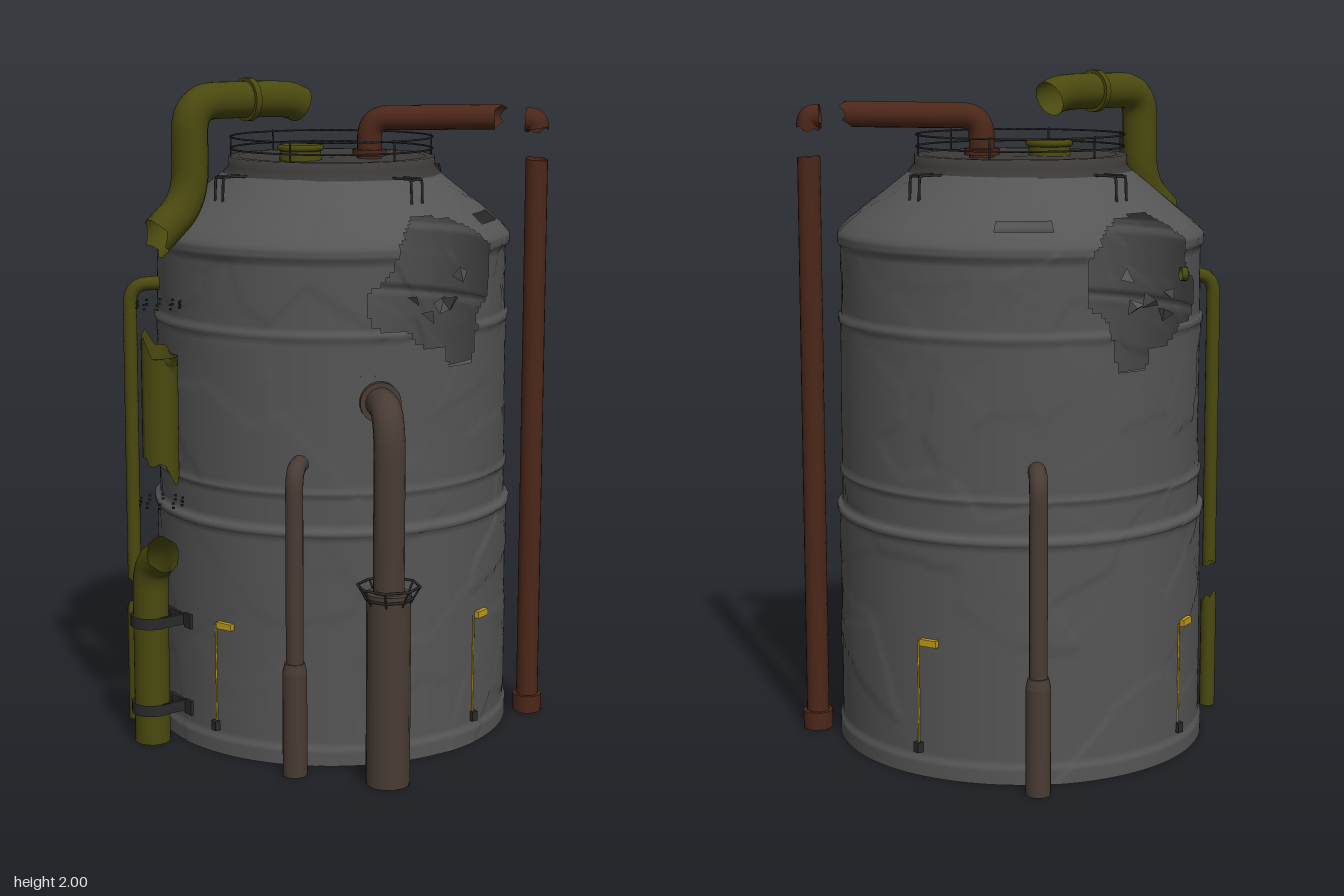
import * as THREE from 'three';

const CX = -0.08, CZ = -0.07; // tank axis
const mat = (color, side = THREE.DoubleSide) => new THREE.MeshStandardMaterial({ color, side });
const STEEL = mat(0x555555), DARK = mat(0x3c3a38), WIRE = mat(0x2a2a2a);
const OLIVE = mat(0x4a490f), BROWN = mat(0x483c34), RUST = mat(0x4c2719), YELLOW = mat(0xc09a18);
const V = (x, y, z) => new THREE.Vector3(x, y, z);

let seed = 7;
const rnd = () => (seed = (seed * 16807) % 2147483647) / 2147483647;

function add(parent, name, geometry, material, x = 0, y = 0, z = 0) {
  const mesh = new THREE.Mesh(geometry, material);
  mesh.name = name;
  mesh.position.set(x, y, z);
  parent.add(mesh);
  return mesh;
}

// Tube along straight runs with rounded corners; the last end may be torn
function pipe(parent, name, points, r, material, bend = 0.08, torn = 0, radial = 14) {
  const p = points.map(a => V(...a)), path = new THREE.CurvePath();
  let from = p[0];
  for (let i = 1; i < p.length - 1; i++) {
    const a = p[i].clone().lerp(p[i - 1], Math.min(0.49, bend / p[i].distanceTo(p[i - 1])));
    const b = p[i].clone().lerp(p[i + 1], Math.min(0.49, bend / p[i].distanceTo(p[i + 1])));
    path.add(new THREE.LineCurve3(from, a));
    path.add(new THREE.QuadraticBezierCurve3(a, p[i], b));
    from = b;
  }
  path.add(new THREE.LineCurve3(from, p[p.length - 1]));
  const segs = p.length > 2 ? 60 : 6;
  const g = new THREE.TubeGeometry(path, segs, r, radial, false);
  if (torn) {
    const t = path.getTangentAt(1), pos = g.attributes.position;
    for (let j = 0; j <= radial; j++) {
      const k = segs * (radial + 1) + j, s = torn * Math.sin(j / radial * Math.PI * 2) + torn * 0.5 * Math.sin(j / radial * Math.PI * 10);
      pos.setXYZ(k, pos.getX(k) + t.x * s, pos.getY(k) + t.y * s, pos.getZ(k) + t.z * s);
    }
  }
  return add(parent, name, g, material);
}

// Upright sleeve from y0 to y1
const sleeve = (parent, name, x, z, r, y0, y1, material) =>
  add(parent, name, new THREE.CylinderGeometry(r, r, y1 - y0, 18), material, x, (y0 + y1) / 2, z);

// Outline of the blown-out opening on both sides, as z, y
const HOLE = [[.165, 1.395], [.095, 1.46], [.075, 1.54], [-.02, 1.61], [-.14, 1.6], [-.22, 1.56], [-.28, 1.5], [-.28, 1.37],
  [-.22, 1.315], [-.19, 1.17], [-.1, 1.17], [-.075, 1.24], [0, 1.24], [.06, 1.29], [.155, 1.3]];
function inHole(x, y, z) {
  const az = Math.atan2(z, x) * 180 / Math.PI;
  // narrow slots at the back of the roof
  if (y > 1.568 && y < 1.595 && ((az > -45 && az < -26) || (az > -147 && az < -128))) return true;
  if (Math.abs(x) < 0.3) return false;
  let inside = false;
  const pz = z + CZ;
  HOLE.forEach(([az1, ay], i) => {
    const [bz, by] = HOLE[(i + 1) % HOLE.length];
    if ((ay > y) !== (by > y) && pz < (bz - az1) * (y - ay) / (by - ay) + az1) inside = !inside;
  });
  return inside;
}

// Turned shell split into slightly displaced shards, with the openings left out
function shatteredShell(profile, around) {
  const rows = [];
  profile.forEach(([r, y], i) => {
    if (!i) return rows.push([r, y]);
    const [r0, y0] = profile[i - 1], n = Math.ceil(Math.hypot(r - r0, y - y0) / 0.015);
    for (let k = 1; k <= n; k++) rows.push([r0 + (r - r0) * k / n, y0 + (y - y0) * k / n]);
  });
  const shards = [];
  for (let i = 0; i < 190; i++) {
    const a = rnd() * Math.PI * 2, y = 1.75 * Math.pow(rnd(), 0.7);
    const r = y > 1.56 ? 0.53 - (y - 1.56) : 0.53;
    shards.push([r * Math.cos(a), y, r * Math.sin(a), (rnd() - 0.5) * 0.005]);
  }
  const pos = [], index = [];
  for (const [r, y] of rows) for (let j = 0; j < around; j++) {
    const a = j / around * Math.PI * 2, x = r * Math.cos(a), z = r * Math.sin(a);
    let best = 9, shift = 0;
    for (const s of shards) {
      const d = (s[0] - x) ** 2 + (s[1] - y) ** 2 + (s[2] - z) ** 2;
      if (d < best) { best = d; shift = s[3]; }
    }
    pos.push(x * (1 + shift / r), y, z * (1 + shift / r));
  }
  for (let i = 0; i < rows.length - 1; i++) for (let j = 0; j < around; j++) {
    const a = (j + 0.5) / around * Math.PI * 2, r = (rows[i][0] + rows[i + 1][0]) / 2;
    if (inHole(r * Math.cos(a), (rows[i][1] + rows[i + 1][1]) / 2, r * Math.sin(a))) continue;
    const k = (j + 1) % around, p = i * around, q = p + around;
    index.push(p + j, q + j, p + k, q + j, q + k, p + k);
  }
  const g = new THREE.BufferGeometry();
  g.setAttribute('position', new THREE.Float32BufferAttribute(pos, 3));
  g.setIndex(index);
  g.computeVertexNormals();
  return g;
}

export function createModel() {
  const model = new THREE.Group();
  const tank = new THREE.Group();
  tank.name = 'tank';
  tank.position.set(CX, 0, CZ);
  model.add(tank);

  // Tank wall and sloping roof
  add(tank, 'tankShell', shatteredShell([[.555, 0], [.555, .05], [.547, .055], [.547, .69], [.554, .695], [.554, .71], [.538, .72],
    [.538, .81], [.544, .815], [.544, .825], [.538, .83], [.538, 1.265], [.544, 1.27], [.544, 1.285], [.535, 1.29], [.535, 1.49],
    [.545, 1.5], [.545, 1.53], [.515, 1.562], [.33, 1.71]], 250), STEEL);
  const floor = add(tank, 'floor', new THREE.CircleGeometry(0.553, 64), mat(0x555555, THREE.FrontSide), 0, 0.002, 0);
  floor.rotation.x = Math.PI / 2;
  const lid = [[.345, 1.69], [.33, 1.712], [.315, 1.73], [.315, 1.757], [.285, 1.757], [.28, 1.745], [0, 1.75]];
  add(tank, 'lid', new THREE.LatheGeometry(lid.map(p => new THREE.Vector2(...p)), 64), DARK);

  // Wall thickness showing as a ledge under each side opening
  for (const start of [-.5, Math.PI - .5])
    add(tank, 'wallLedge', new THREE.RingGeometry(.475, .536, 24, 1, start, 1), STEEL, 0, 1.165, 0).rotation.x = -Math.PI / 2;

  // Railing around the lid
  for (const y of [1.78, 1.815]) add(tank, 'rail', new THREE.TorusGeometry(0.308, 0.003, 6, 64), WIRE, 0, y, 0).rotation.x = Math.PI / 2;
  for (let i = 0; i < 6; i++) {
    const a = i / 6 * Math.PI * 2;
    add(tank, 'railPost', new THREE.CylinderGeometry(.003, .003, .07, 6), WIRE, .308 * Math.cos(a), 1.785, .308 * Math.sin(a));
  }

  // Four-way fittings: roof steps, and yellow valve handles with a rod and box
  for (let i = 0; i < 4; i++) {
    const side = new THREE.Group();
    side.name = 'sideFittings';
    side.rotation.y = i * Math.PI / 2;
    tank.add(side);
    for (const x of [-.02, .02]) pipe(side, 'roofStep', [[x, 1.71, .32], [x, 1.712, .412], [x, 1.64, .415]], .004, WIRE, .015, 0, 6);
    pipe(side, 'roofStepBar', [[-.02, 1.71, .412], [.02, 1.71, .412]], .004, WIRE, 0, 0, 6);
    const handle = add(side, 'valveHandle', new THREE.BoxGeometry(.055, .02, .025), YELLOW, .172, .4, .52);
    handle.rotation.y = .3;
    pipe(side, 'valveRod', [[.137, .4, .532], [.137, .09, .532]], .003, YELLOW, 0, 0, 6);
    add(side, 'valveBox', new THREE.BoxGeometry(.02, .03, .02), WIRE, .137, .085, .535);
  }

  // Shards hanging in the side openings
  for (const s of [-1, 1]) for (const [r, y, z, size] of [[.55, 1.37, -.02, .035], [.54, 1.33, .05, .03], [.52, 1.44, -.08, .03],
    [.52, 1.38, .09, .025], [.5, 1.35, -.03, .035]]) {
    const shard = add(tank, 'looseShard', new THREE.TetrahedronGeometry(size), STEEL, s * r, y, z);
    shard.rotation.set(rnd() * 6, rnd() * 6, rnd() * 6);
    shard.scale.x = 0.6;
  }

  // Olive overhead pipe with its flange and lid outlet
  pipe(model, 'overheadPipe', [[-.08, 1.915, .05], [-.08, 1.935, .1], [-.08, 1.935, .445], [-.08, 1.65, .445], [-.08, 1.55, .562]], .054, OLIVE, .09, .025, 18);
  add(model, 'overheadFlange', new THREE.CylinderGeometry(.064, .064, .02, 20), OLIVE, -.08, 1.935, .24).rotation.x = Math.PI / 2;
  add(model, 'lidOutlet', new THREE.CylinderGeometry(.06, .065, .05, 20, 1, true), OLIVE, -.09, 1.77, .04);
  add(model, 'lidOutletRim', new THREE.TorusGeometry(.062, .01, 8, 24), OLIVE, -.09, 1.785, .04).rotation.x = Math.PI / 2;

  // Torn middle section of the front pipe
  const torn = new THREE.CylinderGeometry(.054, .054, .4, 20, 8, true), tp = torn.attributes.position;
  for (let i = 0; i < tp.count; i++) {
    const x = tp.getX(i), z = tp.getZ(i), a = Math.atan2(z, x);
    if (tp.getY(i) > .19) tp.setY(i, .16 - x * .8 + z * .6 + .015 * Math.sin(a * 5));
    if (tp.getY(i) < -.19) tp.setY(i, -.18 + z * .7 - x * .4 + .02 * Math.sin(a * 4));
  }
  torn.computeVertexNormals();
  add(model, 'tornPipeSection', torn, OLIVE, -.08, 1.05, .56);
  for (const y of [.755, .768, 1.345, 1.358]) for (let k = 0; k < 10; k++) {
    const a = k / 10 * Math.PI * 2;
    add(model, 'looseBolt', new THREE.BoxGeometry(.006, .006, .006), WIRE, -.08 + .065 * Math.cos(a), y, .56 + .065 * Math.sin(a));
  }

  // Lower front pipe, held to the wall by two clamps
  pipe(model, 'frontPipe', [[-.15, 0, .56], [-.15, .545, .56], [-.075, .6, .56]], .054, OLIVE, .07, .012, 18);
  for (const y of [.11, .383]) {
    add(model, 'clampBand', new THREE.CylinderGeometry(.062, .062, .035, 20, 1, true), WIRE, -.15, y, .56);
    add(model, 'clampPlate', new THREE.BoxGeometry(.19, .035, .012), WIRE, -.145, y, .476);
    for (const x of [-1, 1]) {
      add(model, 'clampArm', new THREE.BoxGeometry(.012, .032, .09), WIRE, -.15 + x * .056, y, .515);
      add(model, 'clampLug', new THREE.BoxGeometry(.035, .045, .02), WIRE, -.145 + x * .078, y, .475);
    }
  }

  // Thin olive drain pipe, broken in two
  pipe(model, 'drainPipe', [[-.3, 1.38, .4], [-.355, 1.375, .49], [-.355, .46, .49]], .021, OLIVE, .06, .012);
  pipe(model, 'drainPipeStub', [[-.355, 0, .49], [-.355, .35, .49]], .024, OLIVE, 0, .02);

  // Two small brown pipes entering the wall
  for (const [x, z, ix, iz] of [[.35, .385, .27, .3], [-.565, -.462, -.47, -.38]]) {
    pipe(model, 'smallPipe', [[x, .33, z], [x, .91, z], [ix, .91, iz]], .026, BROWN, .06);
    sleeve(model, 'smallPipeSleeve', x, z, .036, 0, .31, BROWN);
    add(model, 'smallPipeCollar', new THREE.CylinderGeometry(.03, .036, .03, 18), BROWN, x, .325, z);
  }

  // Large brown pipe with a wire basket around its sleeve
  pipe(model, 'largePipe', [[.565, .5, .21], [.565, 1.09, .21], [.4, 1.09, .12]], .045, BROWN, .13, 0, 18);
  const flange = add(model, 'largePipeFlange', new THREE.CylinderGeometry(.06, .06, .025, 20), BROWN, .425, 1.09, .134);
  flange.quaternion.setFromUnitVectors(V(0, 1, 0), V(.165, 0, .09).normalize());
  sleeve(model, 'largePipeSleeve', .565, .21, .064, 0, .57, BROWN);
  for (const [r, y] of [[.09, .59], [.07, .555]])
    add(model, 'basketRing', new THREE.TorusGeometry(r, .004, 6, 8), WIRE, .565, y, .21).rotation.x = Math.PI / 2;
  for (let i = 0; i < 8; i++) {
    const c = Math.cos(i * Math.PI / 4), s = Math.sin(i * Math.PI / 4);
    pipe(model, 'basketRib', [[.565 + .09 * c, .59, .21 + .09 * s], [.565 + .07 * c, .555, .21 + .07 * s], [.565 + .062 * c, .54, .21 + .062 * s]], .003, WIRE, .01, 0, 5);
  }

  // Rust-red pipe from the lid, its broken elbow and the tall downpipe
  pipe(model, 'rustLidPipe', [[-.02, 1.74, -.17], [-.02, 1.87, -.17], [.24, 1.875, -.46]], .038, RUST, .06, .02, 16);
  add(model, 'rustLidFlange', new THREE.CylinderGeometry(.052, .052, .02, 18), RUST, -.02, 1.765, -.17);
  pipe(model, 'rustElbowFragment', [[.3, 1.868, -.52], [.322, 1.866, -.542], [.325, 1.84, -.545]], .036, RUST, .03, .012);
  pipe(model, 'rustDownpipe', [[.325, 0, -.545], [.325, 1.75, -.545]], .034, RUST, 0, .004, 18);
  sleeve(model, 'rustFoot', .325, -.545, .045, 0, .055, RUST);
  return model;
}
